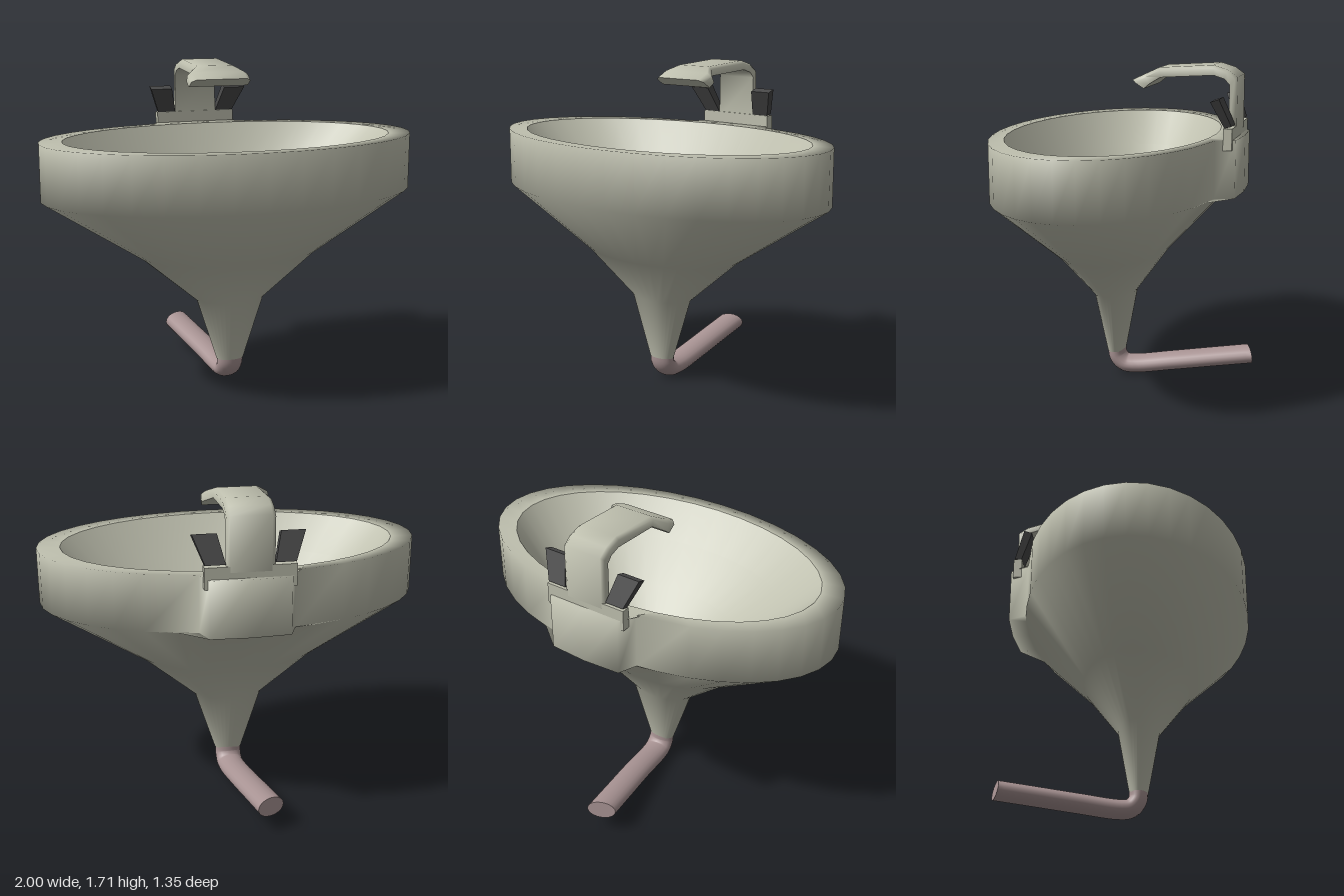
import * as THREE from 'three';
import { mergeVertices, toCreasedNormals } from 'three/addons/utils/BufferGeometryUtils.js';

const V = (x, y, z) => new THREE.Vector3(x, y, z);

// Skin a list of equal-length rings; optional flat end caps.
function loft(rings, caps = false) {
  const n = rings[0].length, pos = [], idx = [];
  rings.forEach(r => r.forEach(p => pos.push(p.x, p.y, p.z)));
  for (let i = 0; i < rings.length - 1; i++) {
    for (let j = 0; j < n; j++) {
      const k = (j + 1) % n, a = i * n + j, b = i * n + k, d = a + n, c = b + n;
      idx.push(a, d, b, b, d, c);
    }
  }
  if (caps) {
    [rings[0], rings[rings.length - 1]].forEach((r, e) => {
      const s = pos.length / 3;
      r.forEach(p => pos.push(p.x, p.y, p.z));
      for (let j = 1; j < n - 1; j++) idx.push(s, s + (e ? j + 1 : j), s + (e ? j : j + 1));
    });
  }
  const g = new THREE.BufferGeometry();
  g.setAttribute('position', new THREE.Float32BufferAttribute(pos, 3));
  g.setIndex(idx);
  g.computeVertexNormals();
  return g;
}

// Horizontal ellipse ring from [y, rx, rz, cz, cx]
function ellipse([y, rx, rz, cz, cx = 0], n = 36) {
  return Array.from({ length: n }, (_, i) => {
    const t = (i / n) * Math.PI * 2;
    return V(cx + rx * Math.cos(t), y, cz + rz * Math.sin(t));
  });
}

// Pull the rearmost points of a full-width ring out to the wall mount
function pullBack(ring) {
  ring.forEach(p => {
    const x = Math.abs(p.x), s = Math.sign(p.x);
    if (p.z > 0 || x > 0.36) return;
    if (x < 0.01) p.z = -0.612;
    else if (x < 0.2) p.set(s * 0.2, p.y, -0.6);
    else p.set(s * 0.24, p.y, -0.502);
  });
  return ring;
}

export function createModel() {
  const group = new THREE.Group();
  const mat = color => new THREE.MeshStandardMaterial({ color });
  const ceramic = mat(0xbfc0af), dark = mat(0x484848), pink = mat(0xa89393);
  const add = (name, geo, material) => {
    const m = new THREE.Mesh(geo, material);
    m.name = name;
    group.add(m);
    return m;
  };

  // Outer basin: funnel, wall mount growing out of the back, flat rim
  const shell = loft([
    ...[
      [0.13, 0.075, 0.048, 0.078], [0.47, 0.185, 0.11, 0.08],
      [0.72, 0.48, 0.29, 0.08], [1.055, 1, 0.6, 0.08],
    ].map(r => ellipse(r)),
    pullBack(ellipse([1.055, 1, 0.6, 0.08])),
    pullBack(ellipse([1.35, 1, 0.6, 0.08])),
    ellipse([1.35, 0.88, 0.535, 0.075]),
  ]);
  shell.deleteAttribute('normal');
  const basin = mergeVertices(shell);
  basin.computeVertexNormals();
  add('basin', basin, ceramic);

  // Inner bowl sloping to the drain near the back
  add('bowl', loft([
    [1.35, 0.88, 0.535, 0.075], [1.17, 0.7, 0.42, 0.05],
    [0.98, 0.47, 0.28, 0.01], [0.76, 0.17, 0.095, -0.045, -0.01],
  ].map(r => ellipse(r))), ceramic);

  // Drain
  const drain = add('drain', new THREE.CircleGeometry(1, 36), dark);
  drain.rotation.x = -Math.PI / 2;
  drain.scale.set(0.17, 0.095, 1);
  drain.position.set(-0.01, 0.76, -0.045);

  // Faucet base plate
  const base = add('faucetBase', new THREE.BoxGeometry(0.45, 0.11, 0.045), ceramic);
  base.position.set(0, 1.355, -0.562);

  // Flat spout with softened outer edges: [half width, outer z, outer y, inner z, inner y]
  add('spout', toCreasedNormals(loft([
    [0.118, -0.585, 1.38, -0.545, 1.38], [0.118, -0.585, 1.655, -0.548, 1.615],
    [0.118, -0.535, 1.69, -0.52, 1.645], [0.118, -0.46, 1.712, -0.465, 1.662],
    [0.118, -0.18, 1.694, -0.19, 1.645], [0.17, -0.12, 1.665, -0.145, 1.615],
    [0.165, -0.05, 1.632, -0.115, 1.59],
  ].map(([w, zo, yo, zi, yi]) => {
    const ze = zo + (zi - zo) * 0.3, ye = yo + (yi - yo) * 0.3;
    return [V(w * 0.85, yo, zo), V(w, ye, ze), V(w, yi, zi),
      V(-w, yi, zi), V(-w, ye, ze), V(-w * 0.85, yo, zo)];
  }), true), 1.2), ceramic);

  // Two flared handles leaning forward
  const handle = toCreasedNormals(loft([
    [V(0.22, 1.42, -0.58), V(0.22, 1.41, -0.545), V(0.12, 1.41, -0.545), V(0.12, 1.42, -0.58)],
    [V(0.275, 1.56, -0.525), V(0.275, 1.545, -0.482), V(0.155, 1.545, -0.482), V(0.155, 1.56, -0.525)],
  ], true), 0.6);
  add('leftHandle', handle, dark);
  add('rightHandle', handle, dark).scale.x = -1;

  // Oval waste pipe bending from the funnel to the wall, its end cut at a slant
  const path = new THREE.CatmullRomCurve3([
    V(0, 0.15, 0.078), V(0, 0.095, 0.07), V(-0.002, 0.057, 0.035), V(-0.008, 0.05, -0.02),
    V(-0.035, 0.078, -0.23), V(-0.068, 0.107, -0.44), V(-0.1, 0.135, -0.645),
  ], false, 'centripetal');
  const rings = [];
  for (let i = 0; i <= 40; i++) {
    const p = path.getPoint(i / 40), t = path.getTangent(i / 40);
    const side = V(1, 0, 0).addScaledVector(t, -t.x).normalize();
    const up = side.clone().cross(t);
    side.z -= 0.25 * (i / 40);
    rings.push(Array.from({ length: 20 }, (_, j) => {
      const a = (j / 20) * Math.PI * 2;
      return p.clone().addScaledVector(side, 0.072 * Math.cos(a)).addScaledVector(up, 0.049 * Math.sin(a));
    }));
  }
  add('wastePipe', loft(rings, true), pink);

  return group;
}
